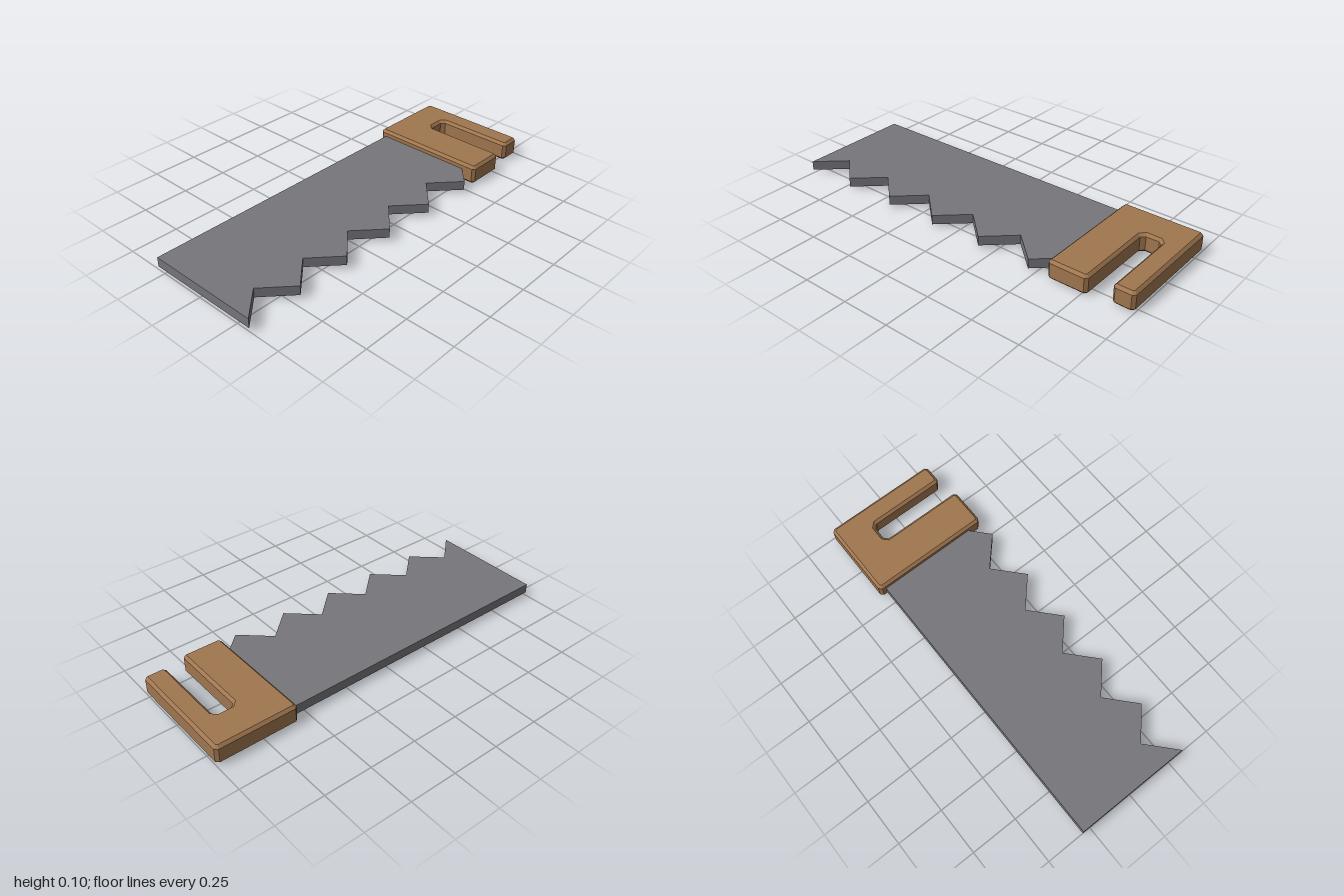
import * as THREE from 'three';

// Extrude a plan outline of [x, z] points so that it lies flat, from y0 to y1
function slab(points, y0, y1, bevel = 0) {
  const shape = new THREE.Shape(points.map(([x, z]) => new THREE.Vector2(x, z)));
  const geometry = new THREE.ExtrudeGeometry(shape, {
    depth: y1 - y0 - 2 * bevel,
    bevelEnabled: bevel > 0,
    bevelThickness: bevel,
    bevelSize: bevel,
    bevelOffset: -bevel,
    bevelSegments: 1,
  });
  geometry.rotateX(Math.PI / 2);
  geometry.translate(0, y1 - bevel, 0);
  return geometry;
}

// Cut each [x, z, size] corner of an outline at an angle
function cutCorners(corners) {
  return corners.flatMap(([x, z, size], i) => {
    const n = corners.length;
    return [corners[(i + n - 1) % n], corners[(i + 1) % n]].map(([ox, oz]) => {
      const t = size / Math.hypot(ox - x, oz - z);
      return [x + (ox - x) * t, z + (oz - z) * t];
    });
  });
}

export function createModel() {
  const steel = new THREE.MeshStandardMaterial({ color: 0x77767b });
  steel.name = 'steel';
  const wood = new THREE.MeshStandardMaterial({ color: 0xa0764f });
  wood.name = 'wood';

  const group = new THREE.Group();
  group.name = 'handSaw';

  // Blade: straight back, zigzag teeth, end tucked into the handle
  const outline = [[0.6, -0.295], [-1, -0.295]];
  for (let i = 0; i <= 10; i++) outline.push([-1 + i * 0.147, i % 2 ? 0.19 : 0.325]);
  outline.push([0.6, 0.205]);
  const blade = new THREE.Mesh(slab(outline, 0.018, 0.068), steel);
  blade.name = 'blade';

  // Handle: wide grip and a thin guard joined at the back, with chamfered edges
  const c = 0.015;
  const handleOutline = cutCorners([
    [0.565, -0.33, c], [0.998, -0.33, c], [0.998, 0.287, c], [0.886, 0.287, c],
    [0.886, -0.142, 0.02], [0.777, -0.142, 0.02], [0.777, 0.315, c], [0.565, 0.315, c],
  ]);
  const handle = new THREE.Mesh(slab(handleOutline, 0, 0.102, 0.014), wood);
  handle.name = 'handle';

  group.add(blade, handle);
  return group;
}
